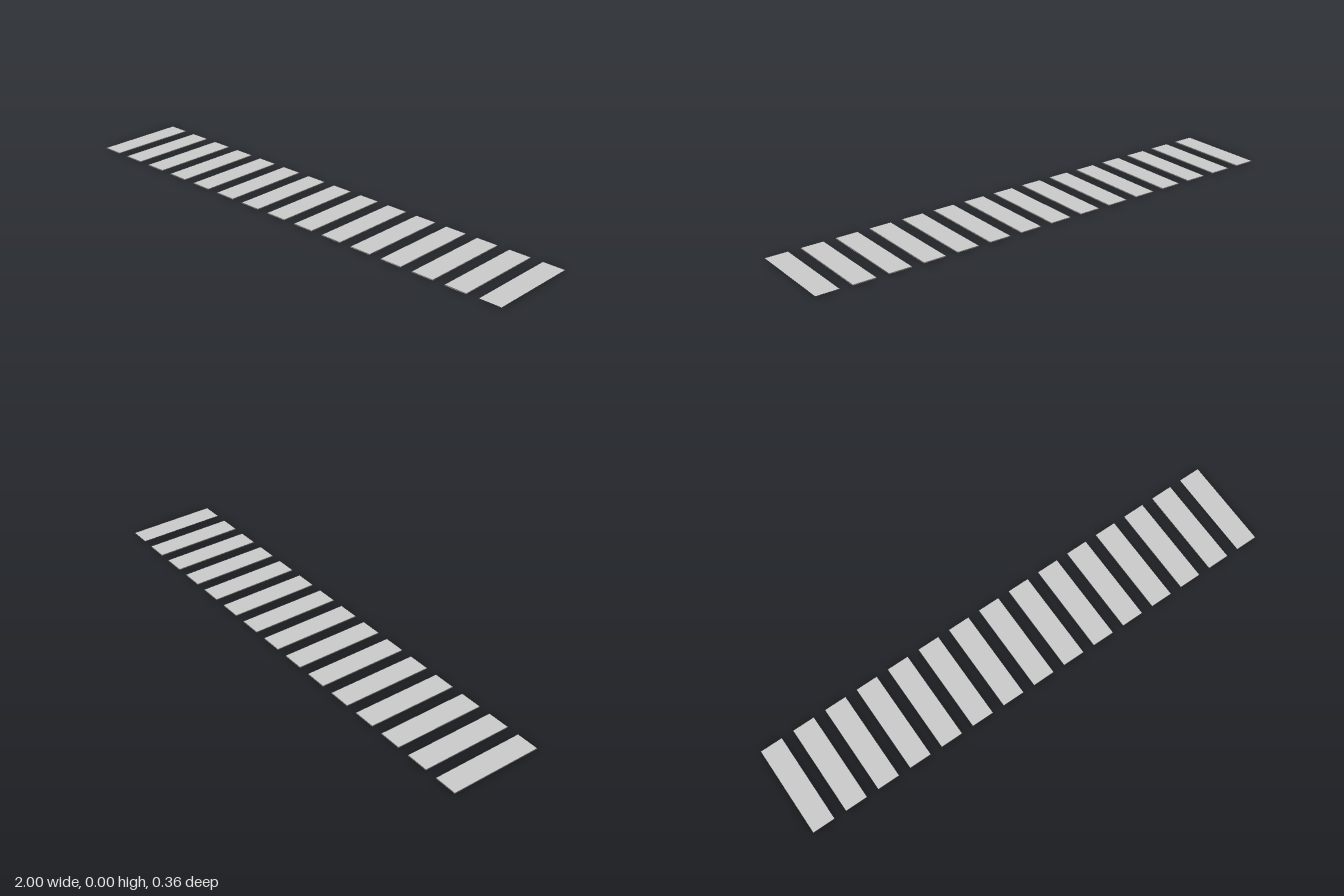
import * as THREE from 'three';

const COUNT = 15, WIDTH = 0.09, DEPTH = 0.362, THICK = 0.004;

export function createModel() {
  const group = new THREE.Group();
  group.name = 'crosswalk';
  const material = new THREE.MeshStandardMaterial({ color: 0xcccccc, flatShading: true });
  const pitch = (2 - WIDTH) / (COUNT - 1);

  // Thin raised stripes, evenly spaced along x
  const slab = new THREE.BoxGeometry(WIDTH, THICK, DEPTH);
  for (let i = 0; i < COUNT - 1; i++) {
    const stripe = new THREE.Mesh(slab, material);
    stripe.name = `stripe${i + 1}`;
    stripe.position.set(-1 + WIDTH / 2 + i * pitch, THICK / 2, 0);
    group.add(stripe);
  }

  // The last stripe is a flat sheet without thickness
  const sheetMaterial = material.clone();
  sheetMaterial.side = THREE.DoubleSide;
  const sheet = new THREE.Mesh(new THREE.PlaneGeometry(WIDTH, DEPTH).rotateX(-Math.PI / 2), sheetMaterial);
  sheet.name = 'flatEndStripe';
  sheet.position.set(1 - WIDTH / 2, THICK, 0);
  group.add(sheet);

  return group;
}
